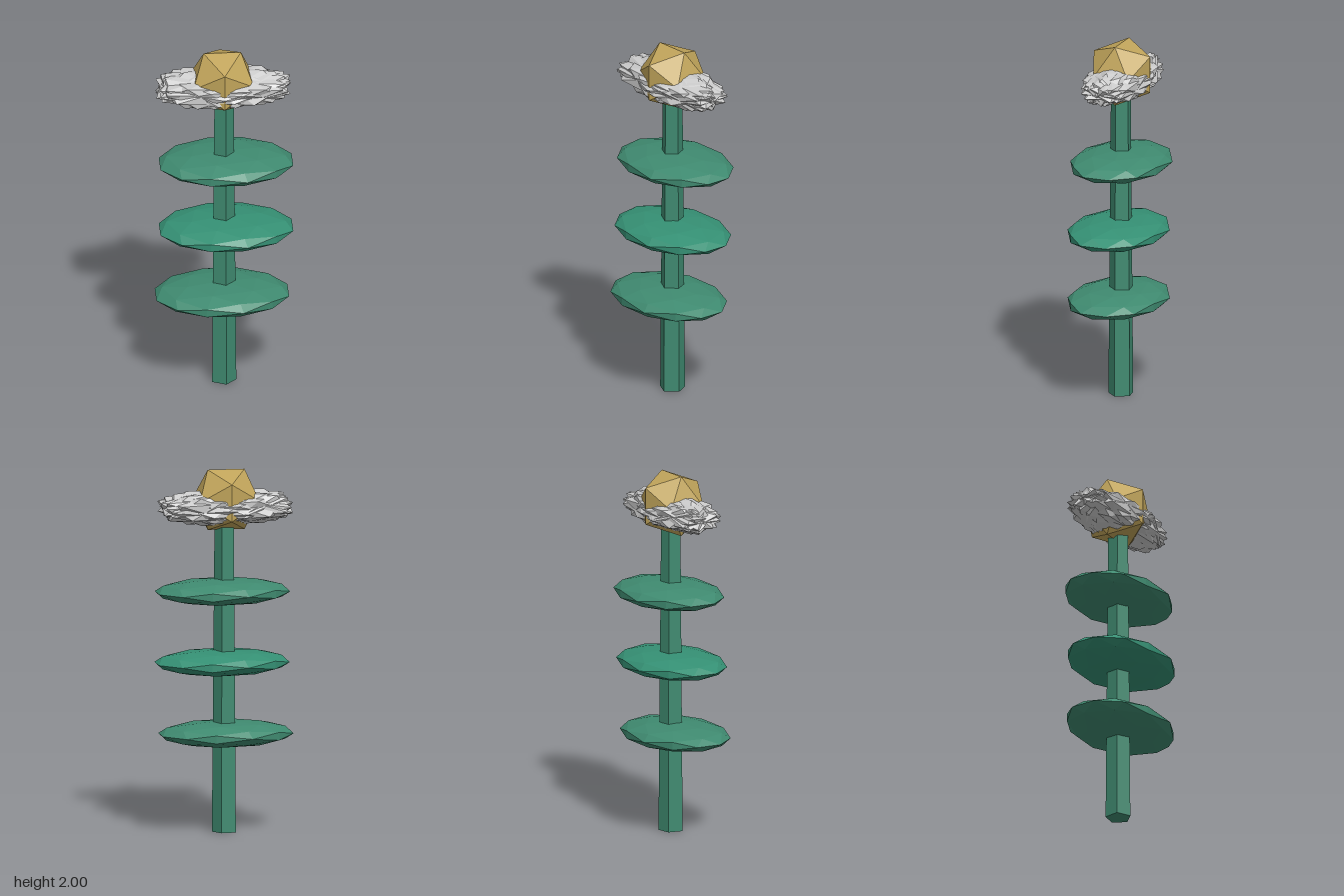
import * as THREE from 'three';

const material = (color) => new THREE.MeshStandardMaterial({ color, flatShading: true });

function addMesh(parent, name, geometry, mat, x, y, z) {
  const mesh = new THREE.Mesh(geometry, mat);
  mesh.name = name;
  mesh.position.set(x, y, z);
  parent.add(mesh);
  return mesh;
}

// Icosahedron whose spikes are pushed onto a slightly boxy, stretched shell
function petalGeometry(i, rx, ry, rz) {
  const geo = new THREE.IcosahedronGeometry(1, 0);
  geo.applyMatrix4(new THREE.Matrix4().makeRotationFromEuler(
    new THREE.Euler(i * 0.69, i * 0.4, i * 1.13)));
  const pos = geo.attributes.position;
  for (let k = 0; k < pos.count; k++) {
    const x = pos.getX(k), y = pos.getY(k), z = pos.getZ(k);
    const n = x < 0 ? 2.7 : 2.25; // blunter on the right-hand end
    const s = 1 / Math.pow(Math.pow(Math.abs(x), n) + Math.pow(Math.hypot(y, z), n), 1 / n);
    pos.setXYZ(k, x * s * rx, y * s * ry, z * s * rz);
  }
  geo.computeVertexNormals();
  return geo;
}

export function createModel() {
  const model = new THREE.Group();
  model.name = 'flower';
  const green = material(0x3f8a70);
  const brightGreen = material(0x359074);
  const gold = material(0xc0a45a);
  const grey = material(0xcccccc);

  // Five-sided tapering stem
  const stem = addMesh(model, 'stem',
    new THREE.CylinderGeometry(0.057, 0.0715, 1.75, 5), green, -0.0085, 0.875, -0.005);
  stem.rotation.y = THREE.MathUtils.degToRad(9);

  // Three flattened leaf discs, turned first and then stretched
  const leaf = new THREE.IcosahedronGeometry(1, 1);
  leaf.rotateY(THREE.MathUtils.degToRad(15));
  leaf.scale(0.378, 0.071, 0.271);
  leaf.computeVertexNormals();
  const spots = [[-0.0175, 0.54, 0.013], [0.006, 0.935, 0.004], [0.007, 1.328, -0.013]];
  spots.forEach(([x, y, z], i) =>
    addMesh(model, 'leaf' + (i + 1), leaf, i === 1 ? brightGreen : green, x, y, z));

  // Bristling petals: many turned copies sharing one stretched shell
  const petals = new THREE.Group();
  petals.name = 'petals';
  petals.position.set(-0.004, 1.793, -0.008);
  for (let i = 0; i < 9; i++) {
    addMesh(petals, 'petal' + (i + 1), petalGeometry(i, 0.39, 0.104, 0.18), grey, 0, 0, 0);
  }
  model.add(petals);

  // Faceted flower centre
  addMesh(model, 'flowerCentre', new THREE.IcosahedronGeometry(0.195, 0), gold,
    -0.014, 1.834, -0.008);

  return model;
}
